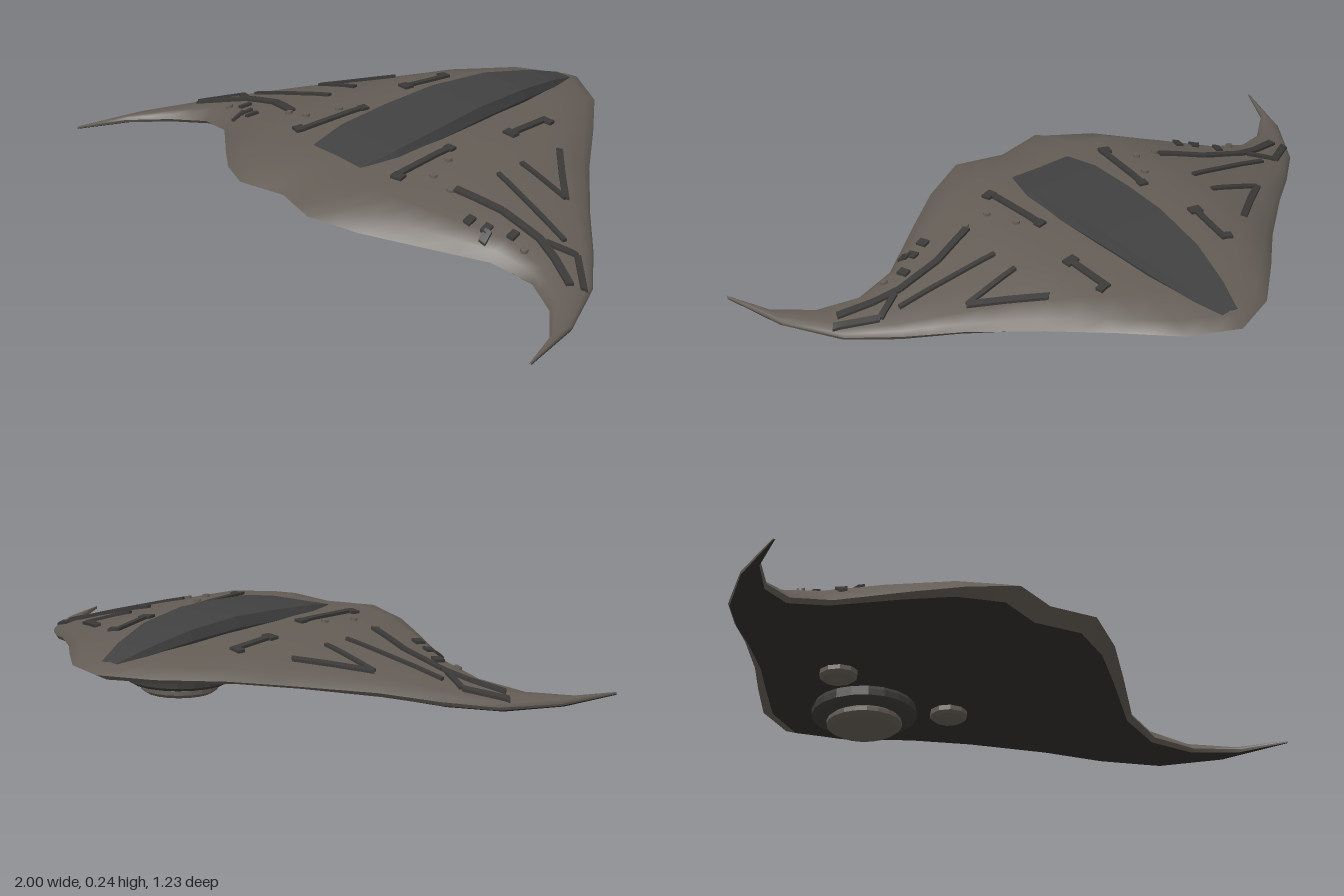
import * as THREE from 'three';

const mat = (name, color, side = THREE.FrontSide) => {
  const m = new THREE.MeshStandardMaterial({ color, side });
  m.name = name;
  return m;
};

// Wing stations: x, rear edge z, front edge z, rear edge y, front edge y, crown y, belly y
const STATIONS = [
  [0, -0.62, 0.575, 0.152, 0.145, 0.208, 0.108],
  [0.15, -0.545, 0.612, 0.145, 0.145, 0.206, 0.108],
  [0.29, -0.395, 0.545, 0.132, 0.122, 0.198, 0.105],
  [0.42, -0.245, 0.45, 0.108, 0.098, 0.168, 0.084],
  [0.59, -0.075, 0.32, 0.08, 0.064, 0.122, 0.052],
  [0.72, 0.045, 0.29, 0.05, 0.04, 0.083, 0.024],
  [0.84, 0.17, 0.34, 0.026, 0.022, 0.048, 0.007],
  [0.94, 0.35, 0.44, 0.016, 0.016, 0.028, 0.004],
  [1, 0.568, 0.58, 0.014, 0.014, 0.017, 0.009],
];
// Chord profile: position from rear to front, rise of the crown, drop of the belly
const CHORD = [0, 0.04, 0.15, 0.35, 0.6, 0.85, 0.945, 1];
const RISE = [0, 0.45, 0.72, 0.95, 1, 0.88, 0.48, 0];
const DROP = [0, 0.5, 0.85, 1, 1, 1, 0.75, 0];

function station(x) {
  const ax = Math.min(Math.abs(x), 1);
  let i = 0;
  while (i < STATIONS.length - 2 && ax > STATIONS[i + 1][0]) i++;
  const a = STATIONS[i], b = STATIONS[i + 1], k = (ax - a[0]) / (b[0] - a[0]);
  return a.map((v, n) => v + (b[n] - v) * k);
}

function sample(table, t) {
  let i = 0;
  while (i < CHORD.length - 2 && t > CHORD[i + 1]) i++;
  const k = (t - CHORD[i]) / (CHORD[i + 1] - CHORD[i]);
  return table[i] + (table[i + 1] - table[i]) * k;
}

function surfaceY(x, t, top) {
  const [, , , yb, yf, crown, belly] = station(x);
  const edge = yb + (yf - yb) * t;
  return edge + sample(top ? RISE : DROP, t) * ((top ? crown : belly) - edge);
}

function crownY(x, z) {
  const [, zb, zf] = station(x);
  return surfaceY(x, THREE.MathUtils.clamp((z - zb) / (zf - zb), 0, 1), true);
}

// Grid of points wound to face +y, or -y when flipped
function gridGeometry(rows, flip) {
  const n = rows[0].length, index = [];
  for (let i = 0; i < rows.length - 1; i++) {
    for (let j = 0; j < n - 1; j++) {
      const a = i * n + j, b = a + 1, c = a + n, d = c + 1;
      if (flip) index.push(a, c, b, b, c, d);
      else index.push(a, b, c, b, d, c);
    }
  }
  const g = new THREE.BufferGeometry();
  g.setAttribute('position', new THREE.Float32BufferAttribute(rows.flat(2), 3));
  g.setIndex(index);
  g.computeVertexNormals();
  return g;
}

function hullSkin(from, to, top) {
  const half = [];
  STATIONS.forEach(([x], i) => {
    half.push(x);
    if (i < STATIONS.length - 1) half.push((x + STATIONS[i + 1][0]) / 2);
  });
  const xs = [...half.slice(1).reverse().map((x) => -x), ...half];
  const rows = xs.map((x) => {
    const [, zb, zf] = station(x);
    return CHORD.slice(from, to + 1).map((t) => [x, surfaceY(x, t, top), zb + (zf - zb) * t]);
  });
  return gridGeometry(rows, !top);
}

// Long dark spine: z, half width, top y
function spineGeometry() {
  const sections = [
    [-0.56, 0.03, 0.178], [-0.46, 0.06, 0.206], [-0.3, 0.095, 0.235], [-0.1, 0.118, 0.246],
    [0.08, 0.13, 0.236], [0.25, 0.134, 0.222], [0.36, 0.118, 0.203], [0.515, 0.066, 0.173],
  ];
  const ring = ([z, w, y]) => [
    [-w * 0.85, 0.145, z], [-w, y - (y - 0.15) * 0.35, z], [-w * 0.9, y, z],
    [w * 0.9, y, z], [w, y - (y - 0.15) * 0.35, z], [w * 0.85, 0.145, z],
  ];
  const rings = sections.map(ring);
  const rows = [rings[0].map(() => [0, 0.15, -0.56]), ...rings, rings[0].map(() => [0, 0.15, 0.515])];
  const g = gridGeometry(rows, true).toNonIndexed();
  g.computeVertexNormals();
  return g;
}

// Raised strip that follows the crown of the wing
function strip([x1, z1], [x2, z2], width) {
  const len = Math.hypot(x2 - x1, z2 - z1);
  const g = new THREE.BoxGeometry(len, 0.017, width, Math.ceil(len / 0.025), 1, 2);
  g.rotateY(-Math.atan2(z2 - z1, x2 - x1));
  g.translate((x1 + x2) / 2, 0, (z1 + z2) / 2);
  return drape(g);
}

function drape(g) {
  const p = g.attributes.position;
  for (let i = 0; i < p.count; i++) p.setY(i, p.getY(i) + crownY(p.getX(i), p.getZ(i)));
  g.computeVertexNormals();
  return g;
}

export function createModel() {
  const model = new THREE.Group();
  const hull = mat('hull grey brown', 0x645d56);
  const under = mat('underside charcoal', 0x302f2d);
  const spine = mat('spine dark grey', 0x414141);
  const trim = mat('trim dark grey', 0x3b3a38);
  const add = (name, geometry, material, parent = model) => {
    const m = new THREE.Mesh(geometry, material);
    m.name = name;
    parent.add(m);
    return m;
  };

  // Hull skins
  add('wingTop', hullSkin(0, 7, true), hull);
  add('rearRim', hullSkin(0, 1, false), hull);
  add('wingUnderside', hullSkin(1, 6, false), under);
  add('frontRim', hullSkin(6, 7, false), hull);
  const spineMesh = add('spine', spineGeometry(), spine);
  spineMesh.material.side = THREE.DoubleSide;

  // Stepped disc below the tail
  const turned = (pts, sides) => {
    const g = new THREE.LatheGeometry(pts.map(([r, y]) => new THREE.Vector2(r, y)), sides).toNonIndexed();
    g.computeVertexNormals();
    return g;
  };
  add('bellyDisc', turned([[0, 0.066], [0.145, 0.066], [0.16, 0.076], [0.16, 0.096], [0.145, 0.125]], 20), trim)
    .position.z = -0.24;
  add('bellyDiscLower', turned([[0, 0.034], [0.1, 0.034], [0.115, 0.045], [0.115, 0.058], [0.1, 0.07]], 20), hull)
    .position.z = -0.24;

  // Panel strips and studs, repeated on both wings
  const strips = [
    ['rearBracket', [[0.215, -0.27], [0.23, -0.11]], 0.02],
    ['rearBracketHook', [[0.21, -0.255], [0.245, -0.265]], 0.025],
    ['rearBracketFoot', [[0.21, -0.105], [0.25, -0.11]], 0.03],
    ['rearChevron', [[0.36, -0.18], [0.45, -0.1], [0.54, -0.025]], 0.02],
    ['rearChevronBase', [[0.365, -0.018], [0.54, -0.025]], 0.016],
    ['frontBracket', [[0.19, 0.1], [0.21, 0.34]], 0.02],
    ['frontBracketHook', [[0.175, 0.105], [0.205, 0.1]], 0.025],
    ['frontBracketFoot', [[0.2, 0.335], [0.235, 0.325]], 0.03],
    ['frontChevron', [[0.36, 0.24], [0.5, 0.19], [0.64, 0.18], [0.72, 0.2], [0.82, 0.24]], 0.024],
    ['frontChevronLine', [[0.37, 0.08], [0.68, 0.12]], 0.015],
    ['frontChevronOuter', [[0.66, 0.175], [0.74, 0.13], [0.85, 0.215]], 0.02],
  ];
  const studs = [[0.24, 0.155], [0.28, 0.25], [0.355, 0.255], [0.65, 0.25]];
  const hatches = [[0.48, 0.298], [0.53, 0.28], [0.545, 0.3], [0.59, 0.235]];
  for (const side of [1, -1]) {
    const wing = new THREE.Group();
    wing.name = side > 0 ? 'leftWingDetails' : 'rightWingDetails';
    model.add(wing);
    for (const [name, pts, w] of strips) {
      for (let i = 0; i < pts.length - 1; i++) {
        const ends = [pts[i], pts[i + 1]].map(([x, z]) => [side * x, z]);
        add(name, strip(ends[0], ends[1], w), trim, wing);
      }
    }
    for (const [x, z] of studs) {
      const g = new THREE.CylinderGeometry(0.011, 0.012, 0.017, 8);
      add('stud', drape(g.translate(side * x, 0, z)), hull, wing);
    }
    for (const [x, z] of hatches) {
      const g = new THREE.BoxGeometry(0.022, 0.017, 0.036).rotateY(side * 0.25);
      add('hatch', drape(g.translate(side * x, 0, z)), trim, wing);
    }
    // Small pod beside the disc
    const pod = add('bellyPod', turned([[0, 0.083], [0.048, 0.083], [0.058, 0.092], [0.058, 0.13]], 10), hull, wing);
    pod.position.set(side * 0.22, 0, -0.1);
  }
  return model;
}
